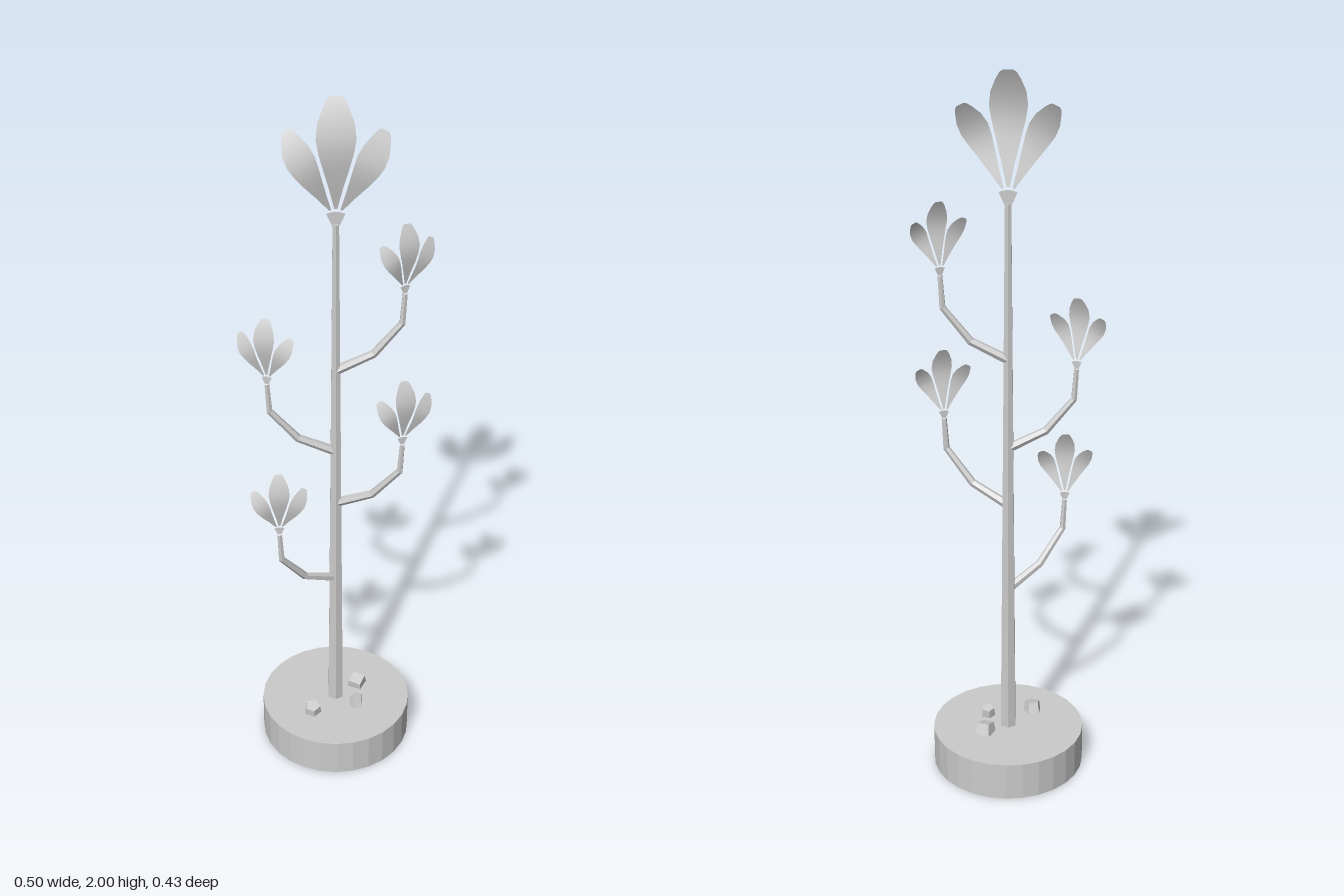
import * as THREE from 'three';

const flat = new THREE.MeshStandardMaterial({ color: 0xcccccc, flatShading: true });
const sheet = new THREE.MeshStandardMaterial({ color: 0xcccccc, side: THREE.DoubleSide });

function add(parent, name, geometry, material = flat) {
  const mesh = new THREE.Mesh(geometry, material);
  mesh.name = name;
  parent.add(mesh);
  return mesh;
}

// Thin petal: a strip of cross-sections [t along length, half width], bulging forward
const PETAL_LENGTH = 0.297;
const PETAL_SECTIONS = [
  [0, 0.004], [0.2, 0.017], [0.4, 0.032], [0.55, 0.043], [0.67, 0.049],
  [0.8, 0.045], [0.92, 0.031], [0.98, 0.021], [1, 0.013],
];
function petalGeometry() {
  const geo = new THREE.PlaneGeometry(1, 1, 2, PETAL_SECTIONS.length - 1);
  const pos = geo.attributes.position;
  for (let i = 0; i < pos.count; i++) {
    const [t, half] = PETAL_SECTIONS[PETAL_SECTIONS.length - 1 - Math.floor(i / 3)];
    pos.setXYZ(i, pos.getX(i) * 2 * half, t * PETAL_LENGTH, 0.034 * Math.sin(Math.PI * t ** 1.3));
  }
  geo.computeVertexNormals();
  return geo;
}

// Flat cup below the petals
function cupGeometry() {
  const shape = new THREE.Shape();
  shape.moveTo(-0.009, 0);
  shape.lineTo(0.009, 0);
  shape.lineTo(0.024, 0.034);
  shape.quadraticCurveTo(0, 0.046, -0.024, 0.034);
  return new THREE.ShapeGeometry(shape, 4);
}

const petalGeo = petalGeometry();
const cupGeo = cupGeometry();

// Flower: cup, a tall centre petal and two mirrored side petals
function flower(name, position, scale, yaw) {
  const group = new THREE.Group();
  group.name = name;
  add(group, 'cup', cupGeo, sheet);
  add(group, 'centrePetal', petalGeo, sheet).position.y = 0.048;
  for (const side of [-1, 1]) {
    const petal = add(group, side < 0 ? 'rightPetal' : 'leftPetal', petalGeo, sheet);
    petal.position.set(side * 0.014, 0.044, 0);
    petal.rotation.z = -side * 0.46;
    petal.scale.set(0.76, 0.8, 0.95);
  }
  group.position.set(...position);
  group.scale.setScalar(scale);
  group.rotation.y = yaw;
  return group;
}

// Kinked, tapering six-sided branch through a few points
function branchGeometry(points, r0, r1) {
  const curve = new THREE.CatmullRomCurve3(points);
  curve.getPointAt = curve.getPoint;
  curve.getTangentAt = curve.getTangent;
  const n = points.length - 1, sides = 6;
  const geo = new THREE.TubeGeometry(curve, n, 1, sides, false);
  const pos = geo.attributes.position;
  const v = new THREE.Vector3();
  for (let i = 0; i < pos.count; i++) {
    const ring = Math.floor(i / (sides + 1));
    v.fromBufferAttribute(pos, i).sub(points[ring]);
    v.multiplyScalar(THREE.MathUtils.lerp(r0, r1, ring / n)).add(points[ring]);
    pos.setXYZ(i, v.x, v.y, v.z);
  }
  return geo;
}

export function createModel() {
  const model = new THREE.Group();
  model.name = 'floweringStem';

  // Round base
  add(model, 'base', new THREE.CylinderGeometry(0.213, 0.213, 0.11, 28)).position.y = 0.055;

  // Tapering main stem
  add(model, 'stem', new THREE.CylinderGeometry(0.0095, 0.024, 1.55, 6)).position.y = 0.885;
  model.add(flower('topFlower', [0, 1.655, 0], 1, 0));

  // Side branches: start height, end position, flower yaw
  const branches = [
    ['lowerRight', 0.55, [-0.153, 0.78, 0.103], 0.08],
    ['lowerLeft', 0.81, [0.175, 1.04, 0.058], 0.31],
    ['upperRight', 0.98, [-0.18, 1.205, 0.016], -0.28],
    ['upperLeft', 1.235, [0.176, 1.465, 0.002], 0.4],
  ];
  for (const [name, y, [ex, ey, ez], yaw] of branches) {
    const points = [[0, 0], [0.56, 0.22], [0.97, 0.62], [1, 1]].map(([out, up]) =>
      new THREE.Vector3(ex * out, y + (ey - y) * up, ez * out));
    add(model, name + 'Branch', branchGeometry(points, 0.013, 0.007));
    model.add(flower(name + 'Flower', [ex, ey, ez], 0.57, yaw));
  }

  // Small pebbles on the base: position, radius, sides, turn, tilt
  const pebbles = [
    [0.063, -0.043, 0.031, 4, 0.35, 0.3],
    [0.06, 0.042, 0.022, 5, 0.9, -0.2],
    [-0.068, 0.075, 0.027, 5, 0.2, 0.25],
  ];
  for (const [x, z, r, sides, turn, tilt] of pebbles) {
    const pebble = add(model, 'pebble', new THREE.CylinderGeometry(r * 0.8, r, 0.034, sides));
    pebble.position.set(x, 0.12, z);
    pebble.rotation.set(tilt, turn, 0);
  }
  return model;
}
